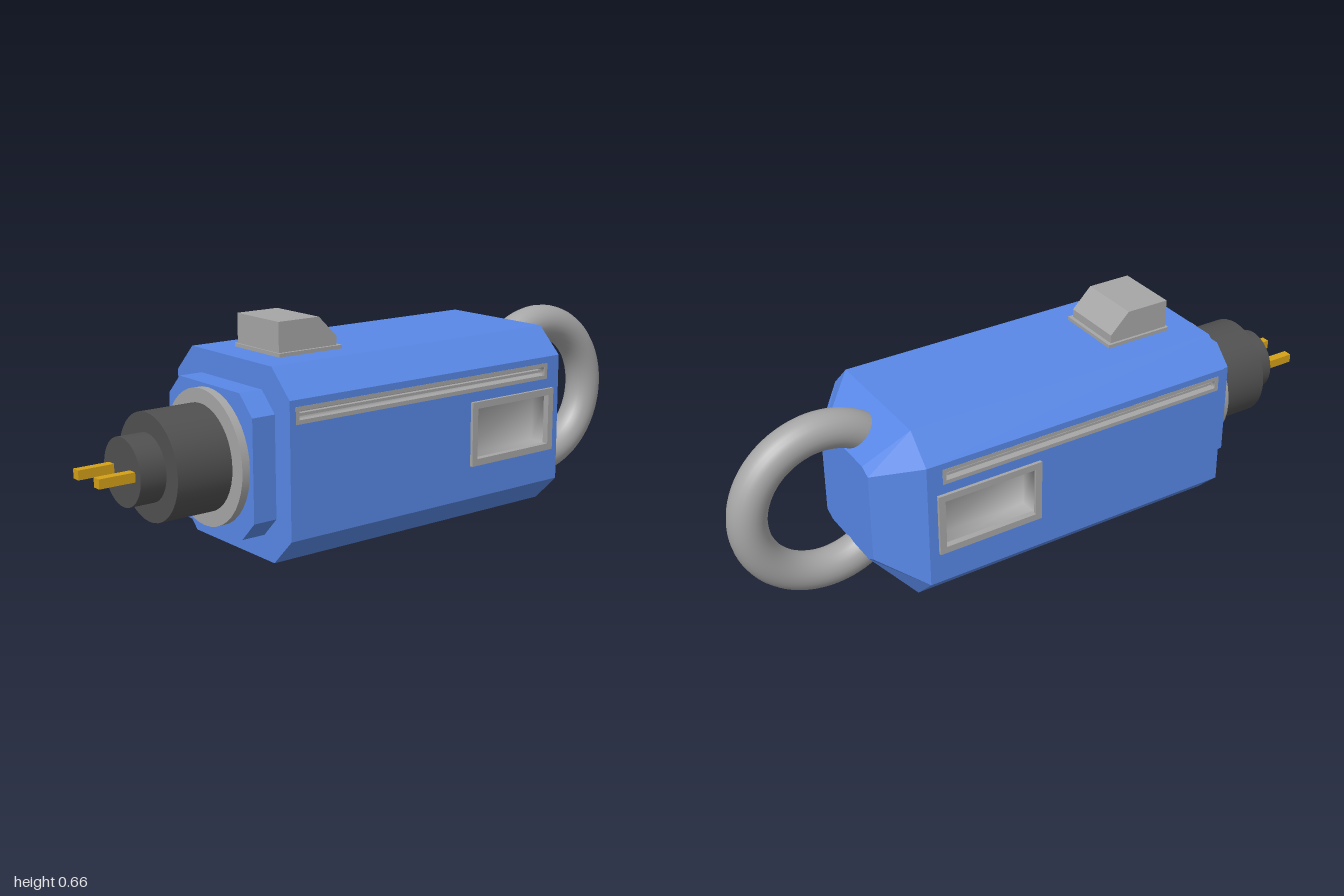
import * as THREE from 'three';
import { mergeVertices } from 'three/addons/utils/BufferGeometryUtils.js';

const material = (name, color) => {
  const m = new THREE.MeshStandardMaterial({ color, side: THREE.DoubleSide });
  m.name = name;
  return m;
};

// Octagonal section across x: half sizes, corner cuts and centre
function octagon(x, hz, hy, cutZ, cutY, y, z = 0) {
  const a = hz - cutZ, b = hy - cutY;
  return [[hz, -b], [hz, b], [a, hy], [-a, hy], [-hz, b], [-hz, -b], [-a, -hy], [a, -hy]]
    .map(([u, v]) => [x, y + v, z - u]);
}

// Joins sections with flat faces; skip(segment, edge) leaves a face open
function loft(sections, skip = () => false) {
  const pos = [];
  const tri = (...p) => p.forEach((v) => pos.push(...v));
  const n = sections[0].length;
  for (let s = 0; s < sections.length - 1; s++) {
    const A = sections[s], B = sections[s + 1];
    for (let i = 0; i < n; i++) {
      if (skip(s, i)) continue;
      const j = (i + 1) % n;
      tri(A[i], A[j], B[i]);
      tri(A[j], B[j], B[i]);
    }
  }
  const first = sections[0], last = sections[sections.length - 1];
  for (let i = 1; i < n - 1; i++) {
    tri(first[0], first[i + 1], first[i]);
    tri(last[0], last[i], last[i + 1]);
  }
  const g = new THREE.BufferGeometry();
  g.setAttribute('position', new THREE.Float32BufferAttribute(pos, 3));
  g.computeVertexNormals();
  return g;
}

function rect(C, [x0, x1, y0, y1], inset = 0) {
  const p = new C();
  p.moveTo(x0 + inset, y0 + inset);
  p.lineTo(x1 - inset, y0 + inset);
  p.lineTo(x1 - inset, y1 - inset);
  p.lineTo(x0 + inset, y1 - inset);
  p.closePath();
  return p;
}

// Inward-facing box without its outer wall, softly shaded
function recess([x0, x1, y0, y1], inset, depth, z, side) {
  let g = new THREE.BoxGeometry(x1 - x0 - 2 * inset, y1 - y0 - 2 * inset, depth);
  const open = side > 0 ? 24 : 30;
  const index = Array.from(g.index.array).filter((_, i) => i < open || i >= open + 6);
  g.setIndex(index);
  g.deleteAttribute('normal');
  g.deleteAttribute('uv');
  g = mergeVertices(g);
  g.scale(-1, 1, 1);
  g.computeVertexNormals();
  g.translate((x0 + x1) / 2, (y0 + y1) / 2, side * (z - depth / 2));
  return g;
}

export function createModel() {
  const model = new THREE.Group();
  const blue = material('blue casing', 0x5b8cee);
  const grey = material('grey metal', 0xa6a6a6);
  const dark = material('dark plastic', 0x505050);
  const gold = material('gold contacts', 0xd4a017);
  const add = (name, geometry, mat, x = 0, y = 0, z = 0) => {
    const m = new THREE.Mesh(geometry, mat);
    m.name = name;
    m.position.set(x, y, z);
    model.add(m);
    return m;
  };

  // Casing with a tapered end; its two flat sides are added with openings
  const CY = 0.288, HZ = 0.283;
  add('casing', loft([
    octagon(-0.535, HZ, 0.282, 0.083, 0.082, CY),
    octagon(0.505, HZ, 0.282, 0.083, 0.082, CY),
    octagon(0.625, 0.152, 0.16, 0.034, 0.018, 0.293, -0.009),
  ], (s, i) => s === 0 && (i === 0 || i === 4)), blue);
  add('collar', loft([
    octagon(-0.61, 0.213, 0.21, 0.06, 0.06, CY),
    octagon(-0.535, 0.213, 0.21, 0.06, 0.06, CY),
  ]), blue);

  // Side panels, windows and slots
  const windowBox = [0.133, 0.475, 0.19, 0.388];
  const slotBox = [-0.515, 0.455, 0.418, 0.468];
  const frame = (box, width, depth) => {
    const s = rect(THREE.Shape, box);
    s.holes.push(rect(THREE.Path, box, width));
    return new THREE.ExtrudeGeometry(s, { depth, bevelEnabled: false }).translate(0, 0, -depth / 2);
  };
  for (const side of [1, -1]) {
    const panel = rect(THREE.Shape, [-0.535, 0.505, CY - 0.2, CY + 0.2]);
    panel.holes.push(rect(THREE.Path, windowBox), rect(THREE.Path, slotBox));
    add('sidePanel', new THREE.ShapeGeometry(panel), blue, 0, 0, side * HZ);
    add('windowFrame', frame(windowBox, 0.021, 0.02), grey, 0, 0, side * 0.283);
    add('windowRecess', recess(windowBox, 0.021, 0.06, 0.283, side), grey);
    add('slotFrame', frame(slotBox, 0.012, 0.02), grey, 0, 0, side * 0.2735);
    add('slotRecess', recess(slotBox, 0.012, 0.025, 0.28, side), grey);
    add('slotRail', new THREE.BoxGeometry(0.93, 0.008, 0.015), grey, -0.03, 0.443, side * 0.266);
  }

  // Carrying ring, its ends buried in the tapered end
  const arc = 4.6;
  add('ring', new THREE.TorusGeometry(0.234, 0.058, 24, 64, arc).rotateZ(-arc / 2),
    grey, 0.7, 0.297, -0.008);

  // Button on top: thin plate and sloped block
  add('buttonPlate', new THREE.BoxGeometry(0.222, 0.012, 0.223), grey, -0.334, 0.575, 0.001);
  const block = new THREE.Shape([[-0.44, 0.575], [-0.235, 0.575], [-0.235, 0.607], [-0.298, 0.67], [-0.44, 0.67]]
    .map(([x, y]) => new THREE.Vector2(x, y)));
  add('button', new THREE.ExtrudeGeometry(block, { depth: 0.205, bevelEnabled: false }), grey, 0, 0, -0.102);

  // Connector: stepped cylinders and two contact pins
  const disc = (name, r, x0, x1, mat, z) => add(name,
    new THREE.CylinderGeometry(r, r, x1 - x0, 40).rotateZ(Math.PI / 2), mat, (x0 + x1) / 2, 0.289, z);
  disc('connectorRing', 0.2, -0.635, -0.605, grey, -0.002);
  disc('connectorBase', 0.157, -0.81, -0.63, dark, -0.008);
  disc('connectorTip', 0.099, -0.89, -0.8, dark, -0.008);
  for (const z of [-0.065, 0.049]) {
    add('contactPin', new THREE.BoxGeometry(0.13, 0.028, 0.028), gold, -0.935, 0.29, z);
  }
  return model;
}
